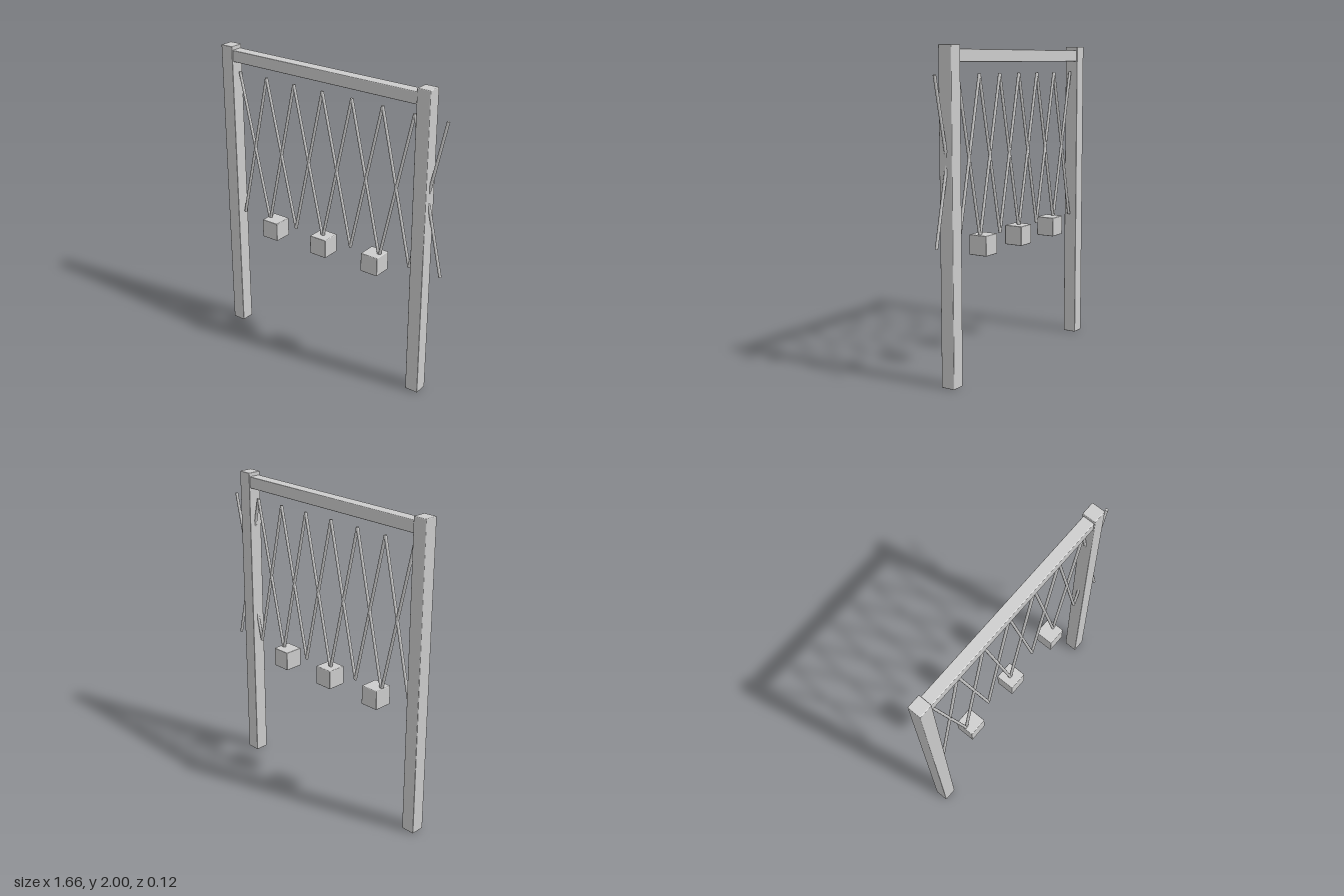
import * as THREE from 'three';
import { RoundedBoxGeometry } from 'three/addons/geometries/RoundedBoxGeometry.js';

export function createModel() {
  const model = new THREE.Group();
  model.name = 'hangingLatticeFrame';
  const grey = new THREE.MeshStandardMaterial({ color: 0xcccccc });
  grey.name = 'grey';

  // Box with slightly softened edges
  function block(name, size, position) {
    const mesh = new THREE.Mesh(new RoundedBoxGeometry(...size, 2, 0.005), grey);
    mesh.name = name;
    mesh.position.set(...position);
    model.add(mesh);
  }

  // Thin round rod between two points in the frame's plane
  function rod(name, x0, y0, x1, y1) {
    const a = new THREE.Vector3(x0, y0, 0);
    const b = new THREE.Vector3(x1, y1, 0);
    const dir = b.clone().sub(a);
    const mesh = new THREE.Mesh(new THREE.CylinderGeometry(0.0095, 0.0095, dir.length(), 12), grey);
    mesh.name = name;
    mesh.position.copy(a).add(b).multiplyScalar(0.5);
    mesh.quaternion.setFromUnitVectors(new THREE.Vector3(0, 1, 0), dir.normalize());
    model.add(mesh);
  }

  // Two posts and the beam joining them
  block('rightPost', [0.09, 2, 0.09], [-0.785, 1, 0]);
  block('leftPost', [0.09, 2, 0.09], [0.68, 1, 0]);
  block('topBeam', [1.465, 0.075, 0.076], [-0.0525, 1.938, 0]);

  // Lattice: seven bays of crossed rods
  const bays = 7, startX = -0.719, step = 0.22, low = 0.849, high = 1.831;
  for (let i = 0; i < bays; i++) {
    const x = startX + i * step;
    rod('fallingRod', x, high, x + step, low);
    rod('risingRod', x, low, x + step, high);
  }

  // Hanging blocks below the lattice
  for (const x of [-0.454, -0.054, 0.346]) {
    block('hangingBlock', [0.124, 0.125, 0.124], [x, 0.806, 0]);
  }
  return model;
}
